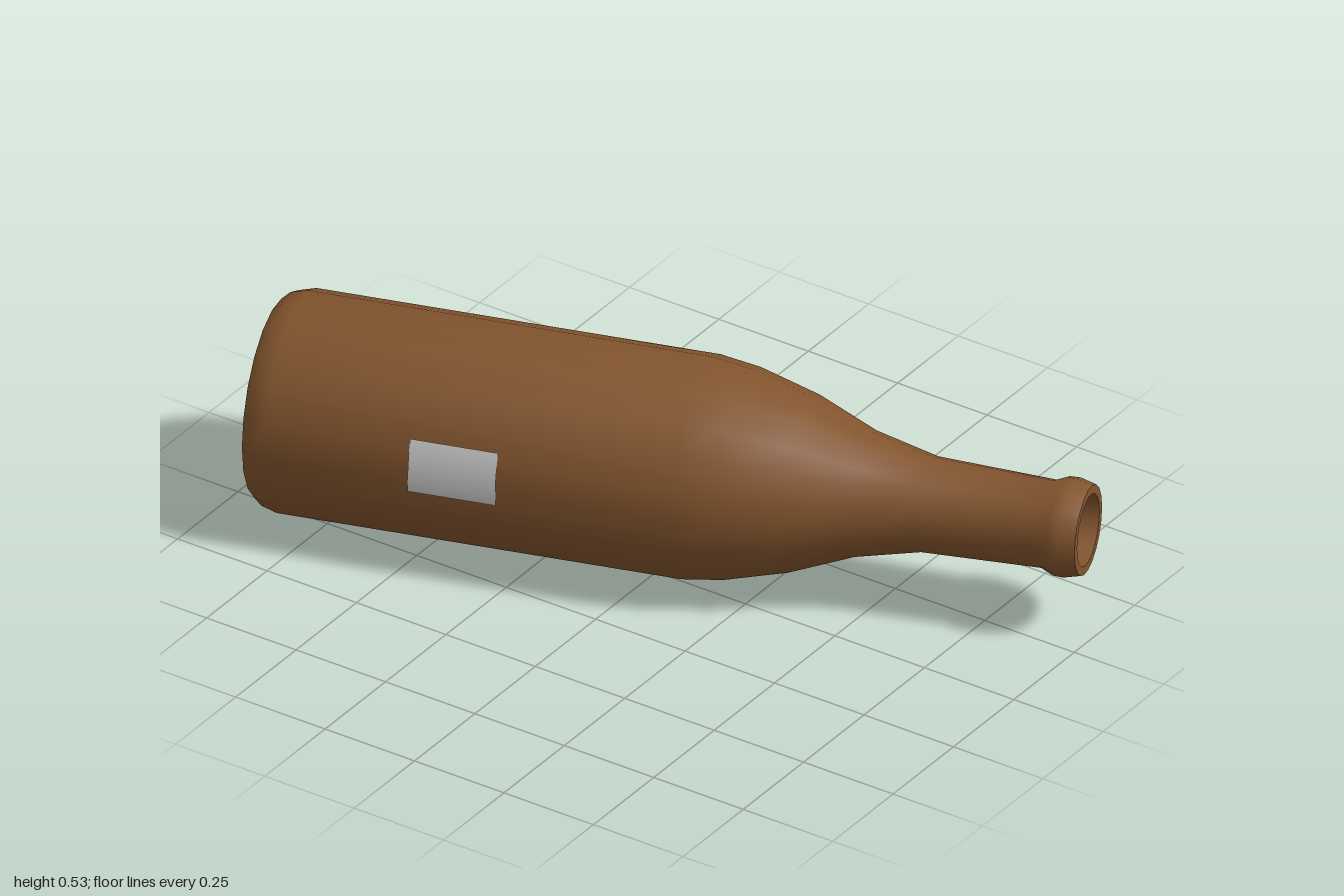
import * as THREE from 'three';
import { toCreasedNormals } from 'three/addons/utils/BufferGeometryUtils.js';

const RADIUS = 0.265;
const YAW = THREE.MathUtils.degToRad(16.8);

export function createModel() {
  const model = new THREE.Group();
  model.name = 'bottleModel';

  const glass = new THREE.MeshStandardMaterial({ color: 0x83552e });
  const paper = new THREE.MeshStandardMaterial({ color: 0xcccccc, side: THREE.DoubleSide });

  // Bottle is built upright along its own y axis, then laid on its side
  const bottle = new THREE.Group();
  bottle.name = 'bottle';
  bottle.rotation.set(0, YAW, -Math.PI / 2, 'YXZ');
  bottle.position.set(-0.93, RADIUS, 0.213);
  model.add(bottle);

  // Profile as [radius, height]: base, wall, shoulder, neck, lip, then the hollow inside
  const profile = [
    [0, 0.03], [0.12, 0.025], [0.2, 0.008], [0.235, 0],
    [0.254, 0.02], [RADIUS, 0.06],
    [RADIUS, 1.04], [0.251, 1.14], [0.21, 1.29], [0.149, 1.44], [0.113, 1.595],
    [0.104, 1.885], [0.117, 1.915], [0.118, 1.94], [0.108, 1.98],
    [0.087, 1.98], [0.083, 1.9], [0.083, 1.6], [0.12, 1.44], [0.18, 1.29],
    [0.235, 1.04], [0.235, 0.07], [0, 0.06],
  ].map(([r, h]) => new THREE.Vector2(r, h));
  const body = new THREE.Mesh(toCreasedNormals(new THREE.LatheGeometry(profile, 20), 0.6), glass);
  body.name = 'glassBody';
  bottle.add(body);

  // Small label wrapped on the front of the wall
  const from = THREE.MathUtils.degToRad(-23.3);
  const sweep = THREE.MathUtils.degToRad(28.7);
  const label = new THREE.Mesh(
    new THREE.CylinderGeometry(RADIUS + 0.002, RADIUS + 0.002, 0.213, 4, 1, true, from, sweep),
    paper
  );
  label.name = 'label';
  label.position.y = 0.518;
  bottle.add(label);

  return model;
}
